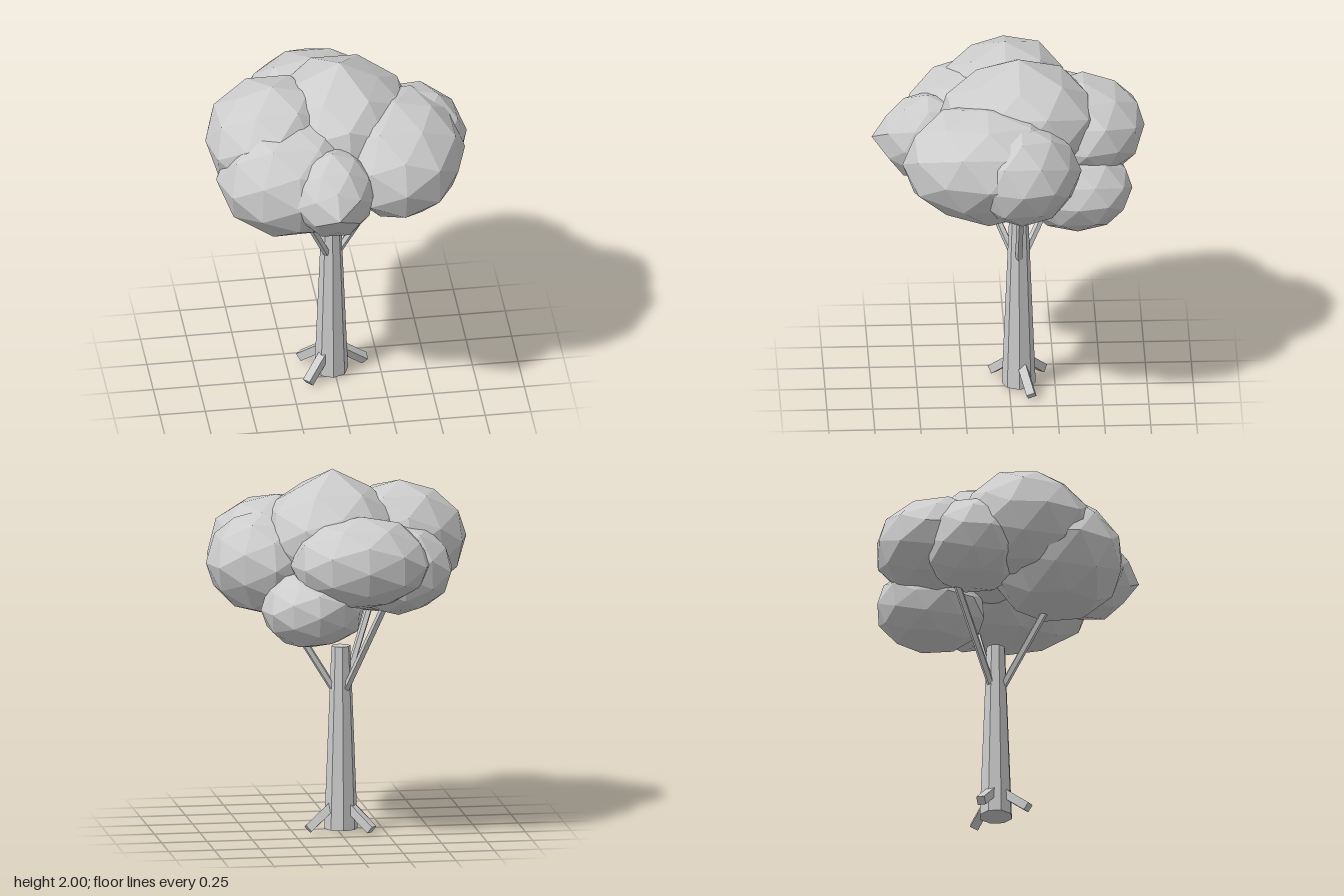
import * as THREE from 'three';
import { mergeVertices } from 'three/addons/utils/BufferGeometryUtils.js';

// Small seeded generator for the uneven leaf clumps
function seeded(seed) {
  return () => {
    seed = (seed * 16807) % 2147483647;
    return seed / 2147483647;
  };
}

export function createModel() {
  const grey = new THREE.MeshStandardMaterial({ color: 0xcccccc, flatShading: true });
  grey.name = 'plain grey';

  const tree = new THREE.Group();
  tree.name = 'tree';
  const cx = -0.017, cz = -0.053; // trunk axis

  const add = (geometry, name) => {
    const mesh = new THREE.Mesh(geometry, grey);
    mesh.name = name;
    tree.add(mesh);
    return mesh;
  };

  // Straight limb between two points
  const limb = (from, to, radius, sides, name) => {
    const dir = to.clone().sub(from);
    const mesh = add(new THREE.CylinderGeometry(radius, radius, dir.length(), sides), name);
    mesh.position.copy(from).addScaledVector(dir, 0.5);
    mesh.quaternion.setFromUnitVectors(new THREE.Vector3(0, 1, 0), dir.normalize());
  };

  // Point at a distance and angle from the trunk axis
  const around = (angle, r, y) => {
    const a = THREE.MathUtils.degToRad(angle);
    return new THREE.Vector3(cx + r * Math.cos(a), y, cz + r * Math.sin(a));
  };

  // Tapered trunk
  const trunk = add(new THREE.CylinderGeometry(0.052, 0.092, 1.01, 8), 'trunk');
  trunk.position.set(cx, 0.515, cz);

  // Three branches rising into the crown
  for (const angle of [0, 131, 236]) {
    limb(around(angle, 0.045, 0.79), around(angle, 0.42, 1.4), 0.021, 5, 'branch');
  }

  // Three stubby roots
  for (const angle of [-18, 137, 222]) {
    limb(around(angle, 0.05, 0.14), around(angle, 0.2, 0.022), 0.033, 4, 'root');
  }

  // Faceted, slightly uneven leaf clump; tip = [direction, stretch] draws one corner out
  const clump = (center, radii, tip, seed) => {
    let geo = new THREE.IcosahedronGeometry(1, 1);
    geo.deleteAttribute('normal');
    geo.deleteAttribute('uv');
    geo = mergeVertices(geo, 1e-4);
    const rand = seeded(seed * 7919 + 13);
    const p = geo.attributes.position;
    const v = new THREE.Vector3();
    for (let i = 0; i < p.count; i++) {
      v.fromBufferAttribute(p, i);
      const jitter = 0.97 + 0.07 * rand();
      const isTip = tip && v.dot(new THREE.Vector3(...tip[0])) > 0.95;
      v.multiplyScalar(isTip ? tip[1] : jitter);
      p.setXYZ(i, v.x, v.y, v.z);
    }
    geo.scale(...radii);
    geo = geo.toNonIndexed();
    geo.computeVertexNormals();
    add(geo, 'leafClump').position.set(...center);
  };

  // Crown: [center], [radii], optional tip
  const crown = [
    [[0.03, 1.63, -0.05], [0.4, 0.31, 0.45], [[0, 1, 0], 1.19]],    // top
    [[-0.35, 1.6, 0.01], [0.37, 0.31, 0.37]],                       // left
    [[-0.27, 1.475, 0.21], [0.4, 0.33, 0.37]],                      // front left
    [[-0.08, 1.49, 0.44], [0.24, 0.24, 0.26], [[0, 0, 1], 1.17]],   // small front
    [[0.31, 1.515, 0.13], [0.37, 0.32, 0.46]],                      // front right
    [[0.39, 1.5, -0.05], [0.33, 0.28, 0.32]],                       // right
    [[0.19, 1.29, -0.36], [0.28, 0.215, 0.31]],                     // low back right
    [[-0.07, 1.54, -0.41], [0.39, 0.25, 0.33]],                     // back
    [[-0.3, 1.48, -0.27], [0.3, 0.25, 0.28]],                       // back left
  ];
  crown.forEach(([center, radii, tip], i) => clump(center, radii, tip, i + 1));

  return tree;
}
